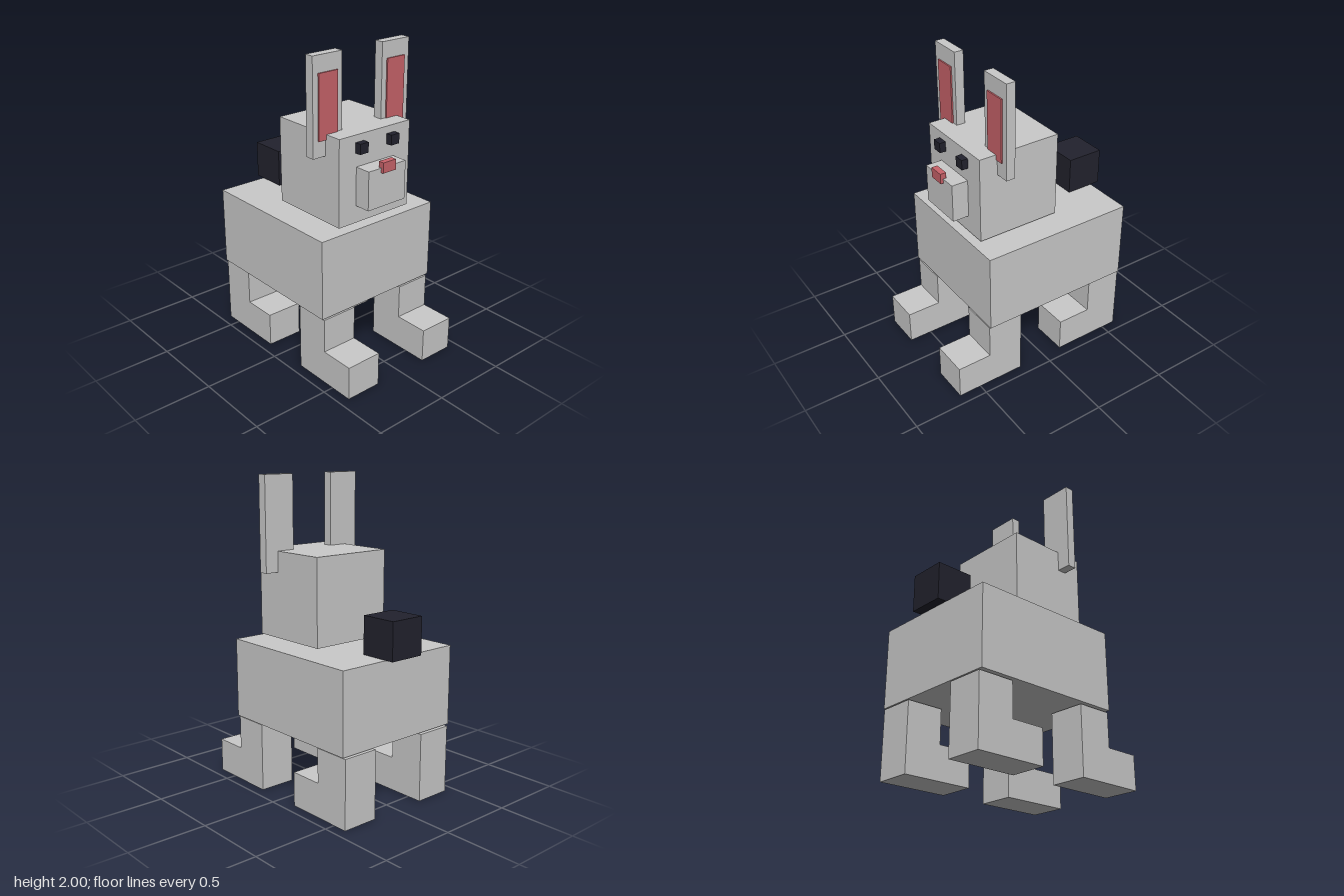
import * as THREE from 'three';

export function createModel() {
  const fur = new THREE.MeshStandardMaterial({ name: 'greyFur', color: 0xc9c9c9 });
  const pink = new THREE.MeshStandardMaterial({ name: 'pinkSkin', color: 0xc9636a });
  const dark = new THREE.MeshStandardMaterial({ name: 'darkNavy', color: 0x22222d });

  const model = new THREE.Group();
  model.name = 'blockRabbit';

  // Box given by its minimum and maximum on each axis
  function block(name, material, [x0, x1], [y0, y1], [z0, z1]) {
    const mesh = new THREE.Mesh(new THREE.BoxGeometry(x1 - x0, y1 - y0, z1 - z0), material);
    mesh.position.set((x0 + x1) / 2, (y0 + y1) / 2, (z0 + z1) / 2);
    mesh.name = name;
    model.add(mesh);
  }

  // L-shaped leg with a forward foot, extruded across x
  function leg(name, x, heel, shin, toe) {
    const width = 0.24;
    const profile = new THREE.Shape([
      [-heel, 0], [-heel, 0.44], [-shin, 0.44], [-shin, 0.22], [-toe, 0.22], [-toe, 0],
    ].map(([u, v]) => new THREE.Vector2(u, v)));
    const geometry = new THREE.ExtrudeGeometry(profile, { depth: width, bevelEnabled: false });
    geometry.translate(0, 0, -width / 2).rotateY(Math.PI / 2);
    const mesh = new THREE.Mesh(geometry, fur);
    mesh.position.x = x;
    mesh.name = name;
    model.add(mesh);
  }

  // Body, head and face
  block('body', fur, [-0.447, 0.447], [0.45, 0.962], [-0.592, 0.425]);
  block('head', fur, [-0.278, 0.278], [0.98, 1.532], [-0.174, 0.377]);
  block('muzzle', fur, [-0.147, 0.147], [1.09, 1.335], [0.377, 0.484]);
  block('nose', pink, [-0.05, 0.05], [1.306, 1.372], [0.463, 0.502]);
  block('tail', dark, [-0.12, 0.12], [0.964, 1.202], [-0.65, -0.41]);

  // Paired parts
  for (const [side, s] of [['left', 1], ['right', -1]]) {
    const span = (a, b) => (s > 0 ? [a, b] : [-b, -a]);
    block(side + 'Eye', dark, span(0.09, 0.155), [1.422, 1.486], [0.377, 0.418]);
    block(side + 'Ear', fur, span(0.155, 0.37), [1.4, 2], [0.197, 0.257]);
    block(side + 'InnerEar', pink, span(0.192, 0.332), [1.5, 1.898], [0.257, 0.266]);
    leg(side + 'FrontLeg', s * 0.313, 0.19, 0.425, 0.65);
    leg(side + 'BackLeg', s * 0.313, -0.597, -0.355, -0.13);
  }
  return model;
}
